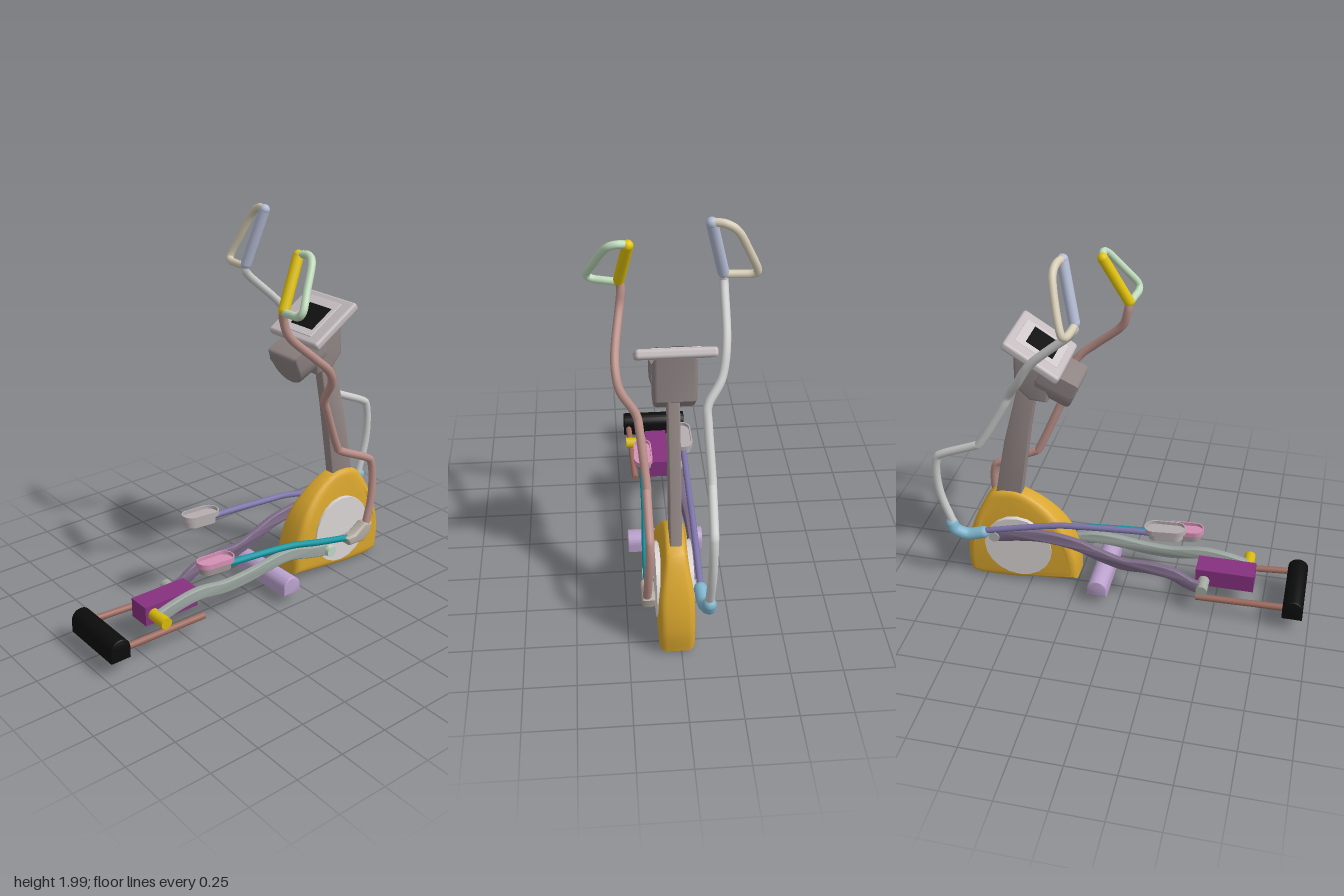
import * as THREE from 'three';
import { toCreasedNormals } from 'three/addons/utils/BufferGeometryUtils.js';
import { RoundedBoxGeometry } from 'three/addons/geometries/RoundedBoxGeometry.js';

const V = (p) => new THREE.Vector3(...p);
const V2 = (p) => new THREE.Vector2(...p);

export function createModel() {
  const model = new THREE.Group();

  const add = (name, geometry, color, parent = model) => {
    const mesh = new THREE.Mesh(geometry, new THREE.MeshStandardMaterial({ color }));
    mesh.name = name;
    parent.add(mesh);
    return mesh;
  };

  // Round tube through [x, y, z] points, with closed ends
  const tube = (name, pts, r, color, tension = 0.5) => {
    const curve = new THREE.CatmullRomCurve3(pts.map(V), false, 'catmullrom', tension);
    add(name, new THREE.TubeGeometry(curve, pts.length * 8, r, 12), color);
    for (const p of [pts[0], pts.at(-1)]) {
      add(name + 'End', new THREE.SphereGeometry(r, 12, 8), color).position.set(...p);
    }
  };

  // Straight rod between two points
  const rod = (name, a, b, r, color) => {
    const dir = V(b).sub(V(a));
    const mesh = add(name, new THREE.CylinderGeometry(r, r, dir.length(), 20), color);
    mesh.position.copy(V(a).add(V(b)).multiplyScalar(0.5));
    mesh.quaternion.setFromUnitVectors(new THREE.Vector3(0, 1, 0), dir.normalize());
    return mesh;
  };

  // Side outline in [z, y], extruded across x from x0 to x1
  const sideGeometry = (shape, x0, x1, bevel = 0.01) => {
    const g = new THREE.ExtrudeGeometry(shape, {
      depth: x1 - x0 - 2 * bevel, bevelEnabled: bevel > 0, bevelSize: bevel,
      bevelThickness: bevel, bevelOffset: -bevel, bevelSegments: 4, curveSegments: 16,
    });
    return toCreasedNormals(g.rotateY(Math.PI / 2).translate(x0 + bevel, 0, 0), 0.6);
  };
  const outline = (pts) => new THREE.Shape(pts.map(([z, y]) => V2([-z, y])));

  // Curved flat beam: a band of constant height along a [z, y] spline
  const beam = (name, pts, h, x0, x1, color) => {
    const curve = new THREE.SplineCurve(pts.map(([z, y]) => V2([-z, y])));
    const top = [], bottom = [];
    for (let i = 0; i <= 40; i++) {
      const p = curve.getPoint(i / 40), t = curve.getTangent(i / 40);
      const n = new THREE.Vector2(-t.y, t.x).multiplyScalar(h / 2);
      top.push(p.clone().add(n));
      bottom.unshift(p.clone().sub(n));
    }
    add(name, sideGeometry(new THREE.Shape([...top, ...bottom]), x0, x1, 0.006), color);
  };

  // Flywheel housing: rounded outline, narrower towards the top
  const cx = 0.02;
  const hull = new THREE.SplineCurve([
    [0.24, 0.06], [0.25, 0.2], [0.31, 0.36], [0.40, 0.47], [0.52, 0.545], [0.62, 0.56], [0.71, 0.53],
    [0.78, 0.42], [0.83, 0.28], [0.85, 0.15], [0.84, 0.03]].map(V2));
  const hullShape = new THREE.Shape([...hull.getPoints(50), V2([0.78, 0.01]), V2([0.6, 0.015])]);
  const housing = sideGeometry(hullShape, -0.085, 0.085, 0.035);
  const hp = housing.attributes.position;
  for (let i = 0; i < hp.count; i++) {
    const k = THREE.MathUtils.smoothstep(hp.getY(i), 0.28, 0.56);
    hp.setX(i, cx + hp.getX(i) * (1 - 0.4 * k));
  }
  add('housing', toCreasedNormals(housing, 0.6), 0xd9a62e);
  rod('housingDisc', [cx - 0.09, 0.24, -0.56], [cx + 0.09, 0.24, -0.56], 0.185, 0xdcd6d6);

  // Mast
  add('mast', sideGeometry(outline([[-0.55, 0.5], [-0.69, 0.5], [-0.62, 0.86], [-0.5, 1.32], [-0.41, 1.32], [-0.48, 0.95]]),
    -0.012, 0.045, 0.008), 0x948886);

  // Console: round-bottomed nose, neck block, tilted panel with screen
  const noseShape = new THREE.Shape();
  noseShape.moveTo(-0.105, 0.18);
  noseShape.lineTo(-0.105, 0.1);
  noseShape.absarc(0, 0.105, 0.105, Math.PI, Math.PI * 2, false);
  noseShape.lineTo(0.105, 0.18);
  const noseGeo = new THREE.ExtrudeGeometry(noseShape, {
    depth: 0.17, bevelSize: 0.02, bevelThickness: 0.02, bevelOffset: -0.02, bevelSegments: 4, curveSegments: 20,
  });
  const nose = add('consoleNose', toCreasedNormals(noseGeo.translate(0, 0, -0.19), 0.6), 0x8f8484);
  nose.position.set(0.008, 1.12, -0.27);
  nose.rotation.x = 0.44;
  add('consoleNeck', sideGeometry(outline([[-0.33, 1.34], [-0.36, 1.17], [-0.45, 1.175], [-0.525, 1.25], [-0.515, 1.47]]),
    -0.09, 0.106, 0.02), 0x8f8484);

  const panel = new THREE.Group();
  panel.name = 'consolePanel';
  panel.position.set(0.005, 1.43, -0.41);
  panel.rotation.x = 0.565;
  model.add(panel);
  add('panelBody', new RoundedBoxGeometry(0.36, 0.045, 0.315, 4, 0.016), 0xc4bcbe, panel);
  add('panelFace', new RoundedBoxGeometry(0.22, 0.01, 0.24, 2, 0.004), 0xcfc8ca, panel).position.y = 0.021;
  add('screen', new THREE.BoxGeometry(0.155, 0.006, 0.15), 0x111111, panel).position.set(0.005, 0.026, 0.005);

  // Right swinging arm with grip and loop
  tube('rightArm', [[-0.235, 1.69, -0.17], [-0.235, 1.64, -0.19], [-0.228, 1.47, -0.38], [-0.2, 1.33, -0.47],
    [-0.135, 1.23, -0.53], [-0.133, 1.15, -0.57], [-0.142, 0.94, -0.69], [-0.14, 0.91, -0.73], [-0.13, 0.83, -0.91],
    [-0.127, 0.79, -0.945], [-0.125, 0.68, -0.955], [-0.123, 0.55, -0.94], [-0.12, 0.37, -0.885]], 0.021, 0xd3d6d6);
  tube('rightGrip', [[-0.168, 1.97, -0.235], [-0.232, 1.7, -0.172]], 0.027, 0xb4bcd4);
  tube('rightLoop', [[-0.168, 1.975, -0.235], [-0.23, 1.97, -0.25], [-0.285, 1.93, -0.25], [-0.34, 1.82, -0.225],
    [-0.382, 1.72, -0.195], [-0.365, 1.692, -0.18], [-0.3, 1.688, -0.172], [-0.232, 1.69, -0.17]], 0.019, 0xd6cdb6);

  // Left swinging arm with grip and loop
  tube('leftArm', [[0.232, 1.6, -0.02], [0.225, 1.55, -0.027], [0.237, 1.46, -0.06], [0.262, 1.34, -0.19],
    [0.265, 1.26, -0.28], [0.245, 1.18, -0.325], [0.18, 1.07, -0.34], [0.163, 0.99, -0.375], [0.14, 0.76, -0.475],
    [0.14, 0.725, -0.51], [0.14, 0.64, -0.69], [0.14, 0.6, -0.73], [0.143, 0.5, -0.742], [0.15, 0.38, -0.73],
    [0.155, 0.25, -0.695]], 0.021, 0xb98f88);
  tube('leftGrip', [[0.192, 1.83, -0.14], [0.233, 1.6, -0.022]], 0.027, 0xe3c40a);
  tube('leftLoop', [[0.192, 1.835, -0.14], [0.25, 1.84, -0.15], [0.295, 1.81, -0.13], [0.345, 1.71, -0.06],
    [0.38, 1.635, -0.01], [0.36, 1.603, 0], [0.3, 1.595, -0.01], [0.233, 1.59, -0.02]], 0.019, 0xbfdcbc);

  // Joints at the foot of each arm
  tube('rightJoint', [[-0.12, 0.385, -0.9], [-0.12, 0.345, -0.88], [-0.105, 0.315, -0.82], [-0.095, 0.33, -0.74]], 0.033, 0x7fb4cc);
  add('leftJoint', sideGeometry(outline([[-0.535, 0.215], [-0.6, 0.22], [-0.67, 0.265], [-0.725, 0.255], [-0.71, 0.2],
    [-0.66, 0.16], [-0.56, 0.165]]), 0.115, 0.18, 0.015), 0xb3aca2);

  // Pedal arms
  tube('rightPedalArm', [[-0.09, 0.468, 0.2], [-0.09, 0.47, 0.1], [-0.09, 0.45, -0.2], [-0.092, 0.43, -0.37], [-0.095, 0.34, -0.74]], 0.016, 0x7d74a8);
  tube('leftPedalArm', [[0.125, 0.32, 0.28], [0.128, 0.315, 0.18], [0.135, 0.285, -0.15], [0.145, 0.245, -0.35], [0.148, 0.2, -0.57]], 0.017, 0x0f97a3);

  // Pedals: solid sole with a raised rim
  const pedalOutline = (Type, w, l) => {
    const s = new Type();
    s.absarc(0, l - w, w, 0, Math.PI, false);
    s.absarc(0, w - l, w * 0.95, Math.PI, Math.PI * 2, false);
    s.closePath();
    return s;
  };
  const plate = (shape, depth) => toCreasedNormals(new THREE.ExtrudeGeometry(shape, { depth, bevelEnabled: false, curveSegments: 16 })
    .rotateX(-Math.PI / 2), 0.6);
  const pedal = (name, x, y, z, soleColor, rimColor) => {
    const group = new THREE.Group();
    group.name = name;
    group.position.set(x, y, z);
    group.rotation.x = -0.06;
    model.add(group);
    add('sole', plate(pedalOutline(THREE.Shape, 0.042, 0.09), 0.036), soleColor, group).position.y = -0.045;
    add('tread', plate(pedalOutline(THREE.Shape, 0.05, 0.107), 0.008), rimColor, group).position.y = -0.008;
    const rim = pedalOutline(THREE.Shape, 0.05, 0.107);
    rim.holes.push(pedalOutline(THREE.Path, 0.043, 0.1));
    add('rim', plate(rim, 0.018), rimColor, group);
  };
  pedal('rightPedal', -0.09, 0.505, 0.24, 0xb5adaf, 0xb5adaf);
  pedal('leftPedal', 0.12, 0.355, 0.305, 0x9d9294, 0xd390b4);

  // Foot links with rollers and crank pins
  beam('rightLink', [[0.44, 0.15], [0.37, 0.165], [0.28, 0.215], [0.15, 0.235], [0.02, 0.235], [-0.1, 0.27],
    [-0.25, 0.325], [-0.45, 0.345], [-0.68, 0.31]], 0.065, -0.095, -0.065, 0x7c6a86);
  beam('leftLink', [[0.65, 0.175], [0.52, 0.205], [0.4, 0.215], [0.25, 0.195], [0.1, 0.2], [-0.05, 0.22],
    [-0.18, 0.225], [-0.32, 0.19], [-0.44, 0.165]], 0.062, 0.105, 0.14, 0x9ba5a0);
  rod('rightRoller', [-0.125, 0.16, 0.44], [-0.02, 0.16, 0.44], 0.03, 0xa3a8a0);
  rod('leftRoller', [0.08, 0.178, 0.655], [0.2, 0.178, 0.655], 0.03, 0xd6b90c);
  rod('rightCrankPin', [-0.1, 0.31, -0.68], [-0.04, 0.31, -0.68], 0.03, 0xb0b4b0);
  rod('leftCrankPin', [0.08, 0.165, -0.44], [0.165, 0.165, -0.44], 0.03, 0xbfd6c4);

  // Base: centre block, side rails and the two cross feet
  add('baseBlock', new THREE.BoxGeometry(0.12, 0.1, 0.305), 0x86317f).position.set(0.028, 0.175, 0.547);
  rod('rightRail', [-0.12, 0.13, 0.88], [-0.108, 0.108, 0.41], 0.017, 0x9c6a5e);
  rod('leftRail', [0.178, 0.13, 0.88], [0.16, 0.108, 0.41], 0.017, 0x9c6a5e);
  const foot = (name, x0, x1, y0, h, z, w, color) => {
    const s = new THREE.Shape();
    s.moveTo(-z - w / 2, y0);
    s.lineTo(-z + w / 2, y0);
    s.lineTo(-z + w / 2, y0 + h - w / 2);
    s.absarc(-z, y0 + h - w / 2, w / 2, 0, Math.PI, false);
    add(name, sideGeometry(s, x0, x1, 0.006), color);
  };
  foot('rearFoot', -0.155, 0.205, 0.085, 0.112, 0.915, 0.105, 0x0c0c0c);
  foot('middleFoot', -0.165, 0.225, 0.062, 0.094, -0.108, 0.106, 0xb9a0cc);

  return model;
}
